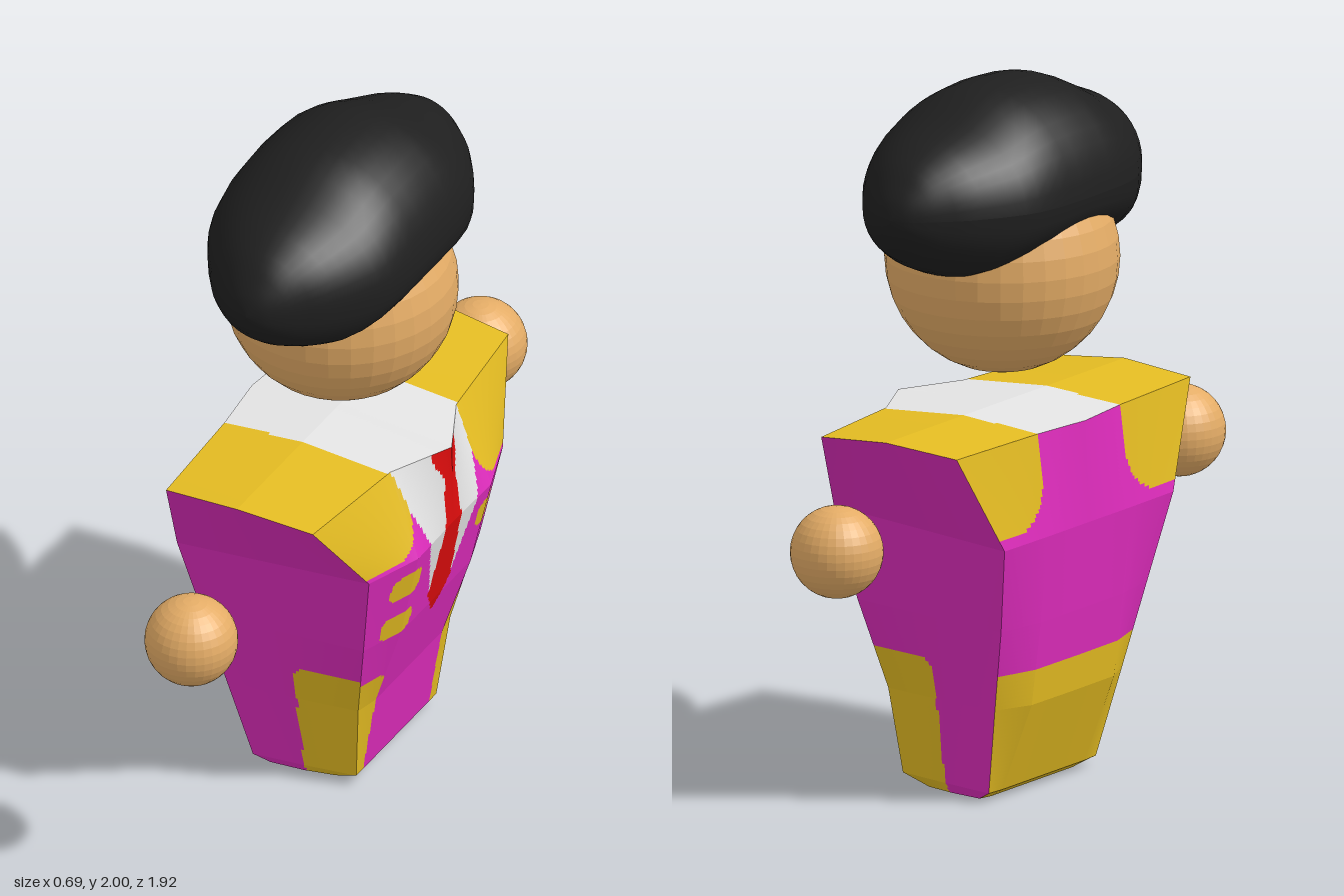
import * as THREE from 'three';

const CX = -0.02, CZ = -0.028; // middle of the figure

const mat = (name, color) => {
  const m = new THREE.MeshStandardMaterial({ color });
  m.name = name;
  return m;
};

// True when (x, y) lies in a rectangle with corner radius r
function inRounded(x, y, x0, x1, y0, y1, r) {
  const dx = Math.max(x0 + r - x, x - x1 + r, 0);
  const dy = Math.max(y0 + r - y, y - y1 + r, 0);
  return dx * dx + dy * dy <= r * r;
}

// Linear interpolation through [key, value] points with rising keys
function ramp(t, pts) {
  for (let i = 1; i < pts.length; i++) {
    const [a, va] = pts[i - 1], [b, vb] = pts[i];
    if (t <= b) return va + (vb - va) * Math.max(0, (t - a) / (b - a));
  }
  return pts[pts.length - 1][1];
}

// Cloth layout on each side of the suit; z is measured from the middle
const tieWidth = [[0.49, 0], [0.58, 0.065], [0.96, 0.03], [1.02, 0.06], [1.06, 0.065]];
const shirtWidth = [[0.56, 0.05], [0.93, 0.175], [1.06, 0.19]];
const regions = {
  front({ y, z }) {
    const w = Math.abs(z);
    if (y < 0.03) return 'trim';
    if (y > 0.49 && w < ramp(y, tieWidth)) return 'tie';
    if (y > 0.56 && w < ramp(y, shirtWidth)) return 'shirt';
    if (inRounded(w, y, 0.178, 2, 0.82, 2, 0.11)) return 'trim';
    if (inRounded(w, y, 0.19, 2, -1, 0.385, 0.04)) return 'trim';
    if (inRounded(w, y, 0.16, 0.285, 0.68, 0.76, 0.03)) return 'trim';
    if (inRounded(z, y, 0.16, 0.285, 0.54, 0.62, 0.03)) return 'trim';
    return 'jacket';
  },
  side: ({ x, y }) => (inRounded(x, y, 0, 2, -1, 0.4, 0.04) ? 'trim' : 'jacket'),
  back({ y, z }) {
    if (y < 0.38) return 'trim';
    return inRounded(Math.abs(z), y, 0.2, 2, 0.8, 2, 0.14) ? 'trim' : 'jacket';
  },
  top: ({ z }) => (Math.abs(z) < 0.2 ? 'shirt' : 'trim'),
  bottom: () => 'jacket',
};

// Half sections, from front middle round the side to back middle.
// Heights are front, side and back; the rest are [x, z] pairs.
const section = ([fy, sy, by], fx, fm, fc, side, bc, bm, bx) => [
  [fx, fy, 0], [fm[0], fy, fm[1]], [fc[0], fy, fc[1]], [side[0], sy, side[1]],
  [bc[0], by, bc[1]], [bm[0], by, bm[1]], [bx, by, 0],
].map((p) => new THREE.Vector3(...p));
const sections = [
  section([0, 0, 0], 0.09, [0.09, 0.15], [0.08, 0.21], [-0.01, 0.23], [-0.11, 0.24], [-0.12, 0.2], -0.12),
  section([0.035, 0.03, 0.025], 0.155, [0.155, 0.17], [0.155, 0.23], [0, 0.247], [-0.155, 0.26], [-0.16, 0.2], -0.16),
  section([0.28, 0.28, 0.28], 0.195, [0.195, 0.19], [0.18, 0.265], [-0.02, 0.295], [-0.21, 0.31], [-0.258, 0.2], -0.26),
  section([0.54, 0.53, 0.52], 0.28, [0.28, 0.2], [0.235, 0.335], [-0.02, 0.348], [-0.262, 0.355], [-0.288, 0.2], -0.29),
  section([0.81, 0.79, 0.77], 0.336, [0.34, 0.21], [0.28, 0.385], [-0.03, 0.4], [-0.312, 0.41], [-0.315, 0.2], -0.315),
  section([1.055, 1.075, 1.057], 0.33, [0.24, 0.19], [0.2, 0.562], [-0.03, 0.58], [-0.26, 0.568], [-0.278, 0.2], -0.3),
];

function buildSuit(materials) {
  const buckets = { jacket: [], trim: [], shirt: [], tie: [] };

  // Fine grid over one four-cornered face, each cell sorted by cloth
  function patch(a, b, c, d, s, flip, region) {
    const cell = region === 'front' ? 0.008 : 0.012;
    const nu = Math.ceil(Math.max(a.distanceTo(b), d.distanceTo(c)) / cell);
    const nv = Math.ceil(Math.max(a.distanceTo(d), b.distanceTo(c)) / cell);
    const at = (i, j) => {
      const p = a.clone().lerp(b, i / nu).lerp(d.clone().lerp(c, i / nu), j / nv);
      p.z *= s;
      return p;
    };
    for (let i = 0; i < nu; i++) for (let j = 0; j < nv; j++) {
      const q = [at(i, j), at(i + 1, j), at(i + 1, j + 1), at(i, j + 1)];
      const out = buckets[regions[region](at(i + 0.5, j + 0.5))];
      const order = flip ? [0, 2, 1, 0, 3, 2] : [0, 1, 2, 0, 2, 3];
      for (const k of order) out.push(q[k].x, q[k].y, q[k].z + CZ);
    }
  }

  // End cap folded along a ridge that runs out to the side point
  function cap(ring, s, flip, region) {
    const side = ring[3];
    const ridge = [0, ring[1].z, side.z].map((z) => new THREE.Vector3(side.x, side.y, z));
    for (const k of [0, 1]) {
      patch(ring[k], ring[k + 1], ridge[k + 1], ridge[k], s, flip, region);
      patch(ridge[k], ridge[k + 1], ring[5 - k], ring[6 - k], s, flip, region);
    }
  }

  const columns = ['front', 'front', 'side', 'side', 'back', 'back'];
  for (const s of [1, -1]) {
    for (let l = 0; l < sections.length - 1; l++) {
      const lo = sections[l], hi = sections[l + 1];
      columns.forEach((name, k) => patch(lo[k], lo[k + 1], hi[k + 1], hi[k], s, s > 0, name));
    }
    cap(sections[sections.length - 1], s, s > 0, 'top');
    cap(sections[0], s, s < 0, 'bottom');
  }

  const suit = new THREE.Group();
  suit.name = 'suit';
  for (const [name, pos] of Object.entries(buckets)) {
    const geo = new THREE.BufferGeometry();
    geo.setAttribute('position', new THREE.Float32BufferAttribute(pos, 3));
    geo.computeVertexNormals();
    const mesh = new THREE.Mesh(geo, materials[name]);
    mesh.name = name;
    suit.add(mesh);
  }
  return suit;
}

// Hair: rounded sections along z, widest at y = 1.7, with a lobe over each side
function buildHair(material) {
  const top = [[0, 2.0], [0.12, 1.993], [0.2, 1.965], [0.27, 1.93], [0.4, 1.88], [0.47, 1.835], [0.52, 1.775], [0.538, 1.74], [0.545, 1.7]];
  const low = [[0, 1.54], [0.15, 1.52], [0.3, 1.49], [0.38, 1.52], [0.46, 1.565], [0.52, 1.63], [0.538, 1.665], [0.545, 1.7]];
  const wide = [[0, 0.305], [0.15, 0.3], [0.25, 0.283], [0.34, 0.235], [0.42, 0.18], [0.5, 0.1], [0.535, 0.05], [0.545, 0]];
  const geo = new THREE.SphereGeometry(1, 40, 36);
  geo.rotateX(Math.PI / 2); // poles along z
  const p = geo.attributes.position;
  for (let i = 0; i < p.count; i++) {
    const z = 0.545 * p.getZ(i), w = Math.abs(z);
    const r = Math.hypot(p.getX(i), p.getY(i)) || 1;
    const cx = p.getX(i) / r, cy = p.getY(i) / r;
    // The underside is a little squarer than the crown
    const h = cy > 0 ? cy * (ramp(w, top) - 1.7) : -Math.pow(-cy, 0.8) * (1.7 - ramp(w, low));
    p.setXYZ(i, CX + cx * ramp(w, wide), 1.7 + h, CZ + z);
  }
  geo.computeVertexNormals();
  const hair = new THREE.Mesh(geo, material);
  hair.name = 'hair';
  return hair;
}

// Faceted ball for the head and hands
function ball(name, r, y, z, material) {
  const geo = new THREE.SphereGeometry(r, 32, 18).toNonIndexed();
  geo.computeVertexNormals();
  const mesh = new THREE.Mesh(geo, material);
  mesh.name = name;
  mesh.position.set(CX, y, z);
  return mesh;
}

export function createModel() {
  const skin = mat('skin', 0xe4ac66);
  const model = new THREE.Group();
  model.name = 'figure';
  model.add(
    buildSuit({
      jacket: mat('magenta cloth', 0xde2cbc),
      trim: mat('gold trim', 0xe4bc22),
      shirt: mat('pale shirt', 0xe4e4e4),
      tie: mat('red tie', 0xdc0c0c),
    }),
    ball('head', 0.327, 1.49, CZ, skin),
    ball('leftHand', 0.13, 0.81, 0.832, skin),
    ball('rightHand', 0.13, 0.81, -0.832, skin),
    buildHair(mat('black hair', 0x1f1f1f)),
  );
  return model;
}
